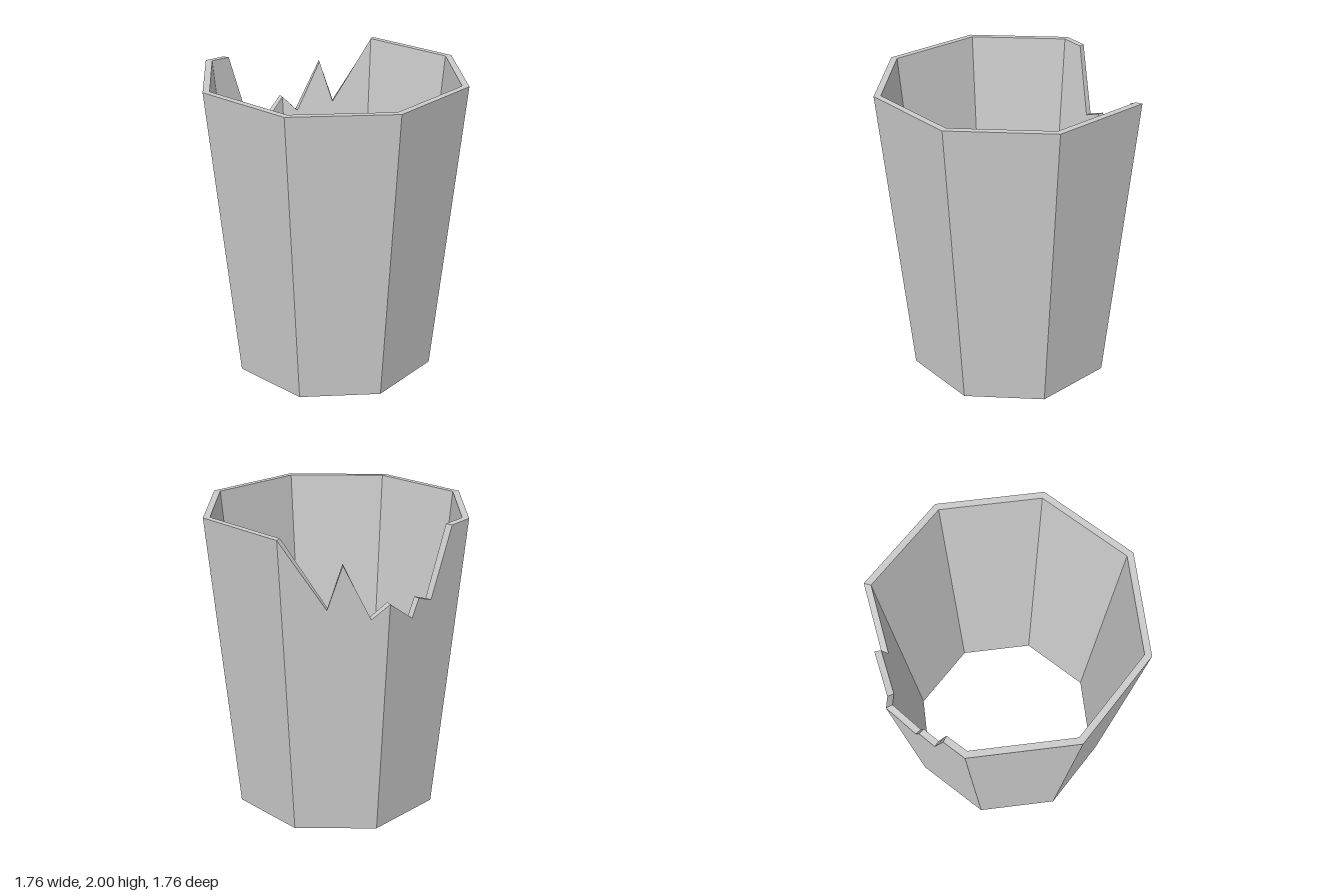
import * as THREE from 'three';

const SIDES = 8;
const WALL = 0.045;

// Rim stations: [position in octagon sides, counted from the back corner towards -x, rim height]
const RIM = [
  [0, 2],
  // broken edge at the back
  [0.42, 1.56], [0.565, 1.845], [0.833, 1.5], [1, 1.6],
  [1.324, 1.456], [1.397, 1.575], [1.578, 1.535], [1.765, 1.99],
  // intact corners
  [2, 2], [3, 2], [4, 2], [5, 2], [6, 2], [7, 2],
];

// Outer corner radius of the tapered wall at height y
const outerRadius = (y) => 0.695 + (0.88 - 0.695) * (y / 2);

// Point on an octagon of corner radius r at side position s and height y
function octagonPoint(s, r, y) {
  const corner = (k) => {
    const a = (k * 2 * Math.PI) / SIDES;
    return new THREE.Vector3(-Math.sin(a), 0, -Math.cos(a));
  };
  const k = Math.floor(s);
  const p = corner(k).lerp(corner(k + 1), s - k).multiplyScalar(r);
  p.y = y;
  return p;
}

// Wall cross-section: outer bottom, outer rim, inner rim, inner bottom
function wallSection([s, y]) {
  return [
    octagonPoint(s, outerRadius(0), 0),
    octagonPoint(s, outerRadius(y), y),
    octagonPoint(s, outerRadius(y) - WALL, y),
    octagonPoint(s, outerRadius(0) - WALL, 0),
  ];
}

// Closed, flat-faced tube wall joining neighbouring cross-sections
function wallGeometry() {
  const sections = RIM.map(wallSection);
  const points = [];
  sections.forEach((a, i) => {
    const b = sections[(i + 1) % sections.length];
    for (let j = 0; j < 4; j++) {
      const n = (j + 1) % 4;
      points.push(a[j], b[j], b[n], a[j], b[n], a[n]);
    }
  });
  const geometry = new THREE.BufferGeometry().setFromPoints(points);
  geometry.computeVertexNormals();
  return geometry;
}

export function createModel() {
  const group = new THREE.Group();
  group.name = 'brokenPot';
  const material = new THREE.MeshStandardMaterial({ color: 0xcccccc, flatShading: true });
  const wall = new THREE.Mesh(wallGeometry(), material);
  wall.name = 'brokenWall';
  group.add(wall);
  return group;
}
